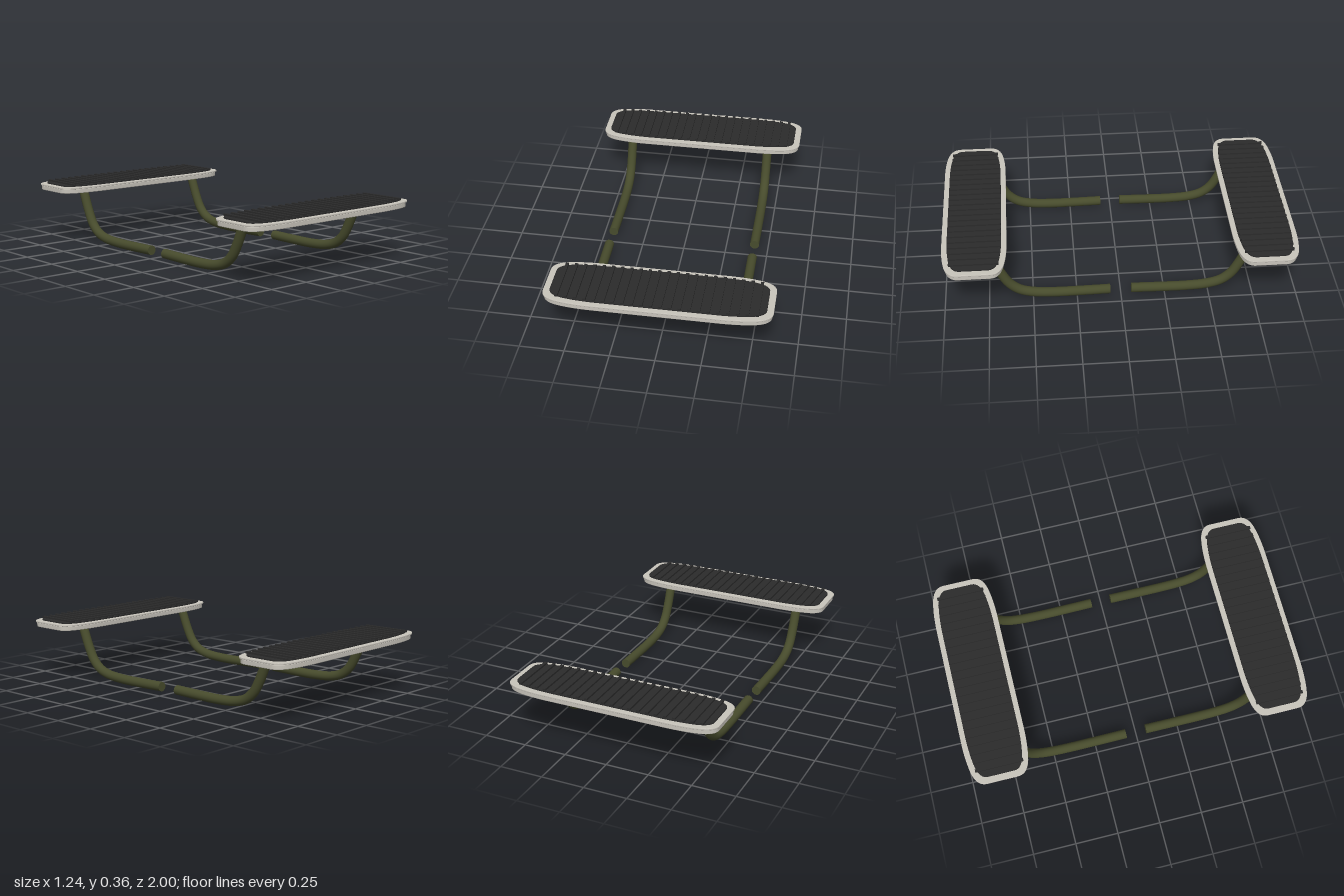
import * as THREE from 'three';

const silver = new THREE.MeshStandardMaterial({ color: 0xc9c5bc });
silver.name = 'paleMetal';
const rubber = new THREE.MeshStandardMaterial({ color: 0x2b2b2b });
rubber.name = 'blackRubber';
const olive = new THREE.MeshStandardMaterial({ color: 0x474b2c });
olive.name = 'oliveTube';

// Softly bulged rounded rectangle with half sizes w and d
function boardShape(w, d) {
  const s = new THREE.Shape();
  const fx = w - 0.27, cx = w - 0.075, cz = d * 0.9, ez = d * 0.5;
  s.moveTo(-fx, -d);
  s.lineTo(fx, -d);
  s.quadraticCurveTo(cx - 0.08, -d, cx, -cz);
  s.quadraticCurveTo(w, -cz * 0.88, w, -ez);
  s.lineTo(w, ez);
  s.quadraticCurveTo(w, cz * 0.88, cx, cz);
  s.quadraticCurveTo(cx - 0.08, d, fx, d);
  s.lineTo(-fx, d);
  s.quadraticCurveTo(-cx + 0.08, d, -cx, cz);
  s.quadraticCurveTo(-w, cz * 0.88, -w, ez);
  s.lineTo(-w, -ez);
  s.quadraticCurveTo(-w, -cz * 0.88, -cx, -cz);
  s.quadraticCurveTo(-cx + 0.08, -d, -fx, -d);
  return s;
}

// Horizontal slab from y0 to y1 with an optional small bevel
function slab(name, w, d, y0, y1, material, bevel = 0) {
  const geo = new THREE.ExtrudeGeometry(boardShape(w - bevel, d - bevel), {
    depth: y1 - y0 - 2 * bevel, curveSegments: 10, bevelEnabled: bevel > 0,
    bevelSize: bevel, bevelThickness: bevel, bevelSegments: 2,
  });
  geo.rotateX(-Math.PI / 2);
  geo.translate(0, y0 + bevel, 0);
  const mesh = new THREE.Mesh(geo, material);
  mesh.name = name;
  return mesh;
}

// Footboard: body, rim, rubber pad and raised ribs
function footboard() {
  const g = new THREE.Group();
  g.name = 'footboard';
  g.add(slab('boardBody', 0.612, 0.176, 0.306, 0.334, silver, 0.004));
  g.add(slab('boardRim', 0.618, 0.182, 0.333, 0.343, silver, 0.002));
  g.add(slab('treadPad', 0.582, 0.152, 0.342, 0.35, rubber));
  const count = 22;
  for (let i = 0; i < count; i++) {
    const x = -0.535 + (1.07 * i) / (count - 1);
    const half = 0.151 - 0.013 * Math.max(0, (Math.abs(x) - 0.3) / 0.235);
    const rib = new THREE.Mesh(new THREE.BoxGeometry(0.017, 0.012, half * 2), rubber);
    rib.name = 'treadRib';
    rib.position.set(x, 0.354, 0);
    g.add(rib);
  }
  return g;
}

// Bent support tube running outward along +z and up to the board
function supportTube() {
  const g = new THREE.Group();
  g.name = 'supportTube';
  const r = 0.0275;
  const path = new THREE.CatmullRomCurve3([
    [0.036, 0.06], [0.033, 0.22], [0.0325, 0.38], [0.042, 0.5],
    [0.065, 0.575], [0.11, 0.63], [0.18, 0.672], [0.295, 0.722],
  ].map(([y, z]) => new THREE.Vector3(0, y, z)));
  const tube = new THREE.Mesh(new THREE.TubeGeometry(path, 40, r, 20), olive);
  tube.name = 'bentTube';
  g.add(tube);
  // Flat end caps
  for (const t of [0, 1]) {
    const cap = new THREE.Mesh(new THREE.CircleGeometry(r, 20), olive);
    cap.name = 'tubeEnd';
    const p = path.getPointAt(t);
    const dir = path.getTangentAt(t).multiplyScalar(t ? 1 : -1);
    cap.position.copy(p);
    cap.quaternion.setFromUnitVectors(new THREE.Vector3(0, 0, 1), dir);
    g.add(cap);
  }
  return g;
}

export function createModel() {
  const model = new THREE.Group();
  model.name = 'footboardPair';
  for (const side of [0, 1]) {
    const half = new THREE.Group();
    half.name = side ? 'backHalf' : 'frontHalf';
    const board = footboard();
    board.position.z = 0.818;
    half.add(board);
    // Tubes sit slightly off centre in x, the same on both halves
    for (const x of [-0.44, 0.42]) {
      const tube = supportTube();
      tube.position.x = side ? -x : x;
      half.add(tube);
    }
    half.rotation.y = side * Math.PI;
    model.add(half);
  }
  return model;
}
